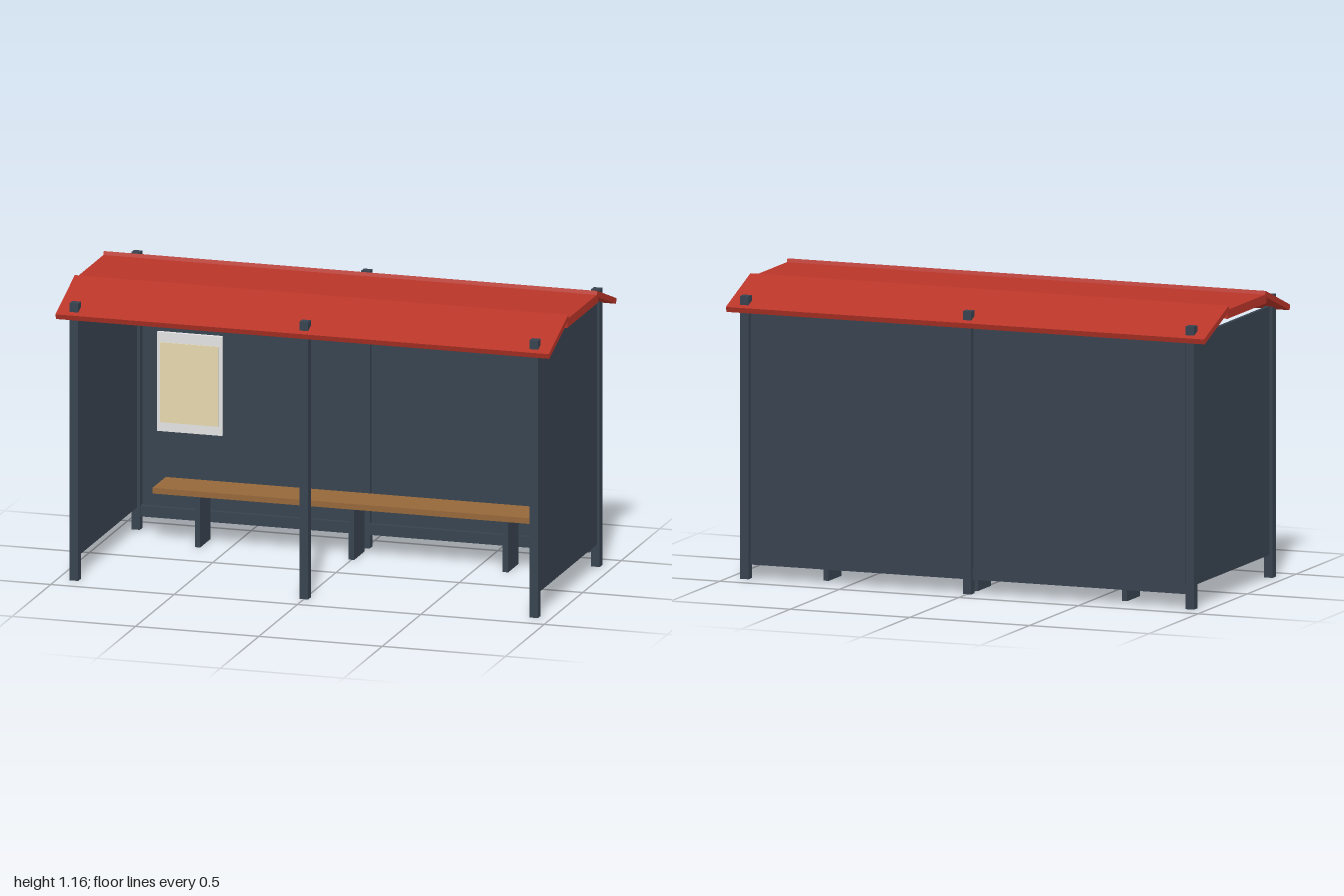
import * as THREE from 'three';

const flat = (name, color) => {
  const m = new THREE.MeshStandardMaterial({ color });
  m.name = name;
  return m;
};

export function createModel() {
  const group = new THREE.Group();
  const steel = flat('dark steel', 0x38434f);
  const red = flat('roof red', 0xb93529);
  const wood = flat('bench wood', 0x96683a);
  const white = flat('sign white', 0xe4e4e4);
  const cream = flat('poster cream', 0xe8dab0);

  const box = (name, mat, w, h, d, x, y, z) => {
    const mesh = new THREE.Mesh(new THREE.BoxGeometry(w, h, d), mat);
    mesh.name = name;
    mesh.position.set(x, y, z);
    group.add(mesh);
    return mesh;
  };

  // Six posts that poke through the roof
  for (const x of [-0.932, 0, 0.932])
    for (const z of [-0.4, 0.4]) box('post', steel, 0.035, 1.11, 0.035, x, 0.555, z);

  // Wall panels, set between the posts with a small gap
  for (const s of [-1, 1]) {
    box('sidePanel', steel, 0.014, 0.975, 0.756, s * 0.932, 0.578, 0);
    box('backPanel', steel, 0.886, 0.975, 0.014, s * 0.465, 0.578, -0.4);
  }
  box('bottomRail', steel, 1.82, 0.043, 0.03, 0, 0.078, -0.39);

  // Roof: flat centre and two sloping wings
  box('roofCentre', red, 2, 0.035, 0.4, 0, 1.128, 0);
  for (const s of [-1, 1]) {
    const wing = box('roofWing', red, 2, 0.022, 0.268, 0, 1.103, s * 0.31);
    wing.rotation.x = s * 0.355;
  }

  // Bench
  box('benchSeat', wood, 1.6, 0.023, 0.17, 0, 0.218, -0.266);
  for (const x of [-0.624, 0, 0.624]) box('benchLeg', steel, 0.022, 0.207, 0.133, x, 0.1035, -0.267);

  // Poster case and name sign on the back wall
  box('posterFrame', white, 0.264, 0.397, 0.014, -0.713, 0.602, -0.386);
  box('posterSheet', cream, 0.236, 0.32, 0.004, -0.713, 0.6, -0.378);
  box('stopSign', white, 0.53, 0.05, 0.008, -0.003, 0.985, -0.379);

  return group;
}
